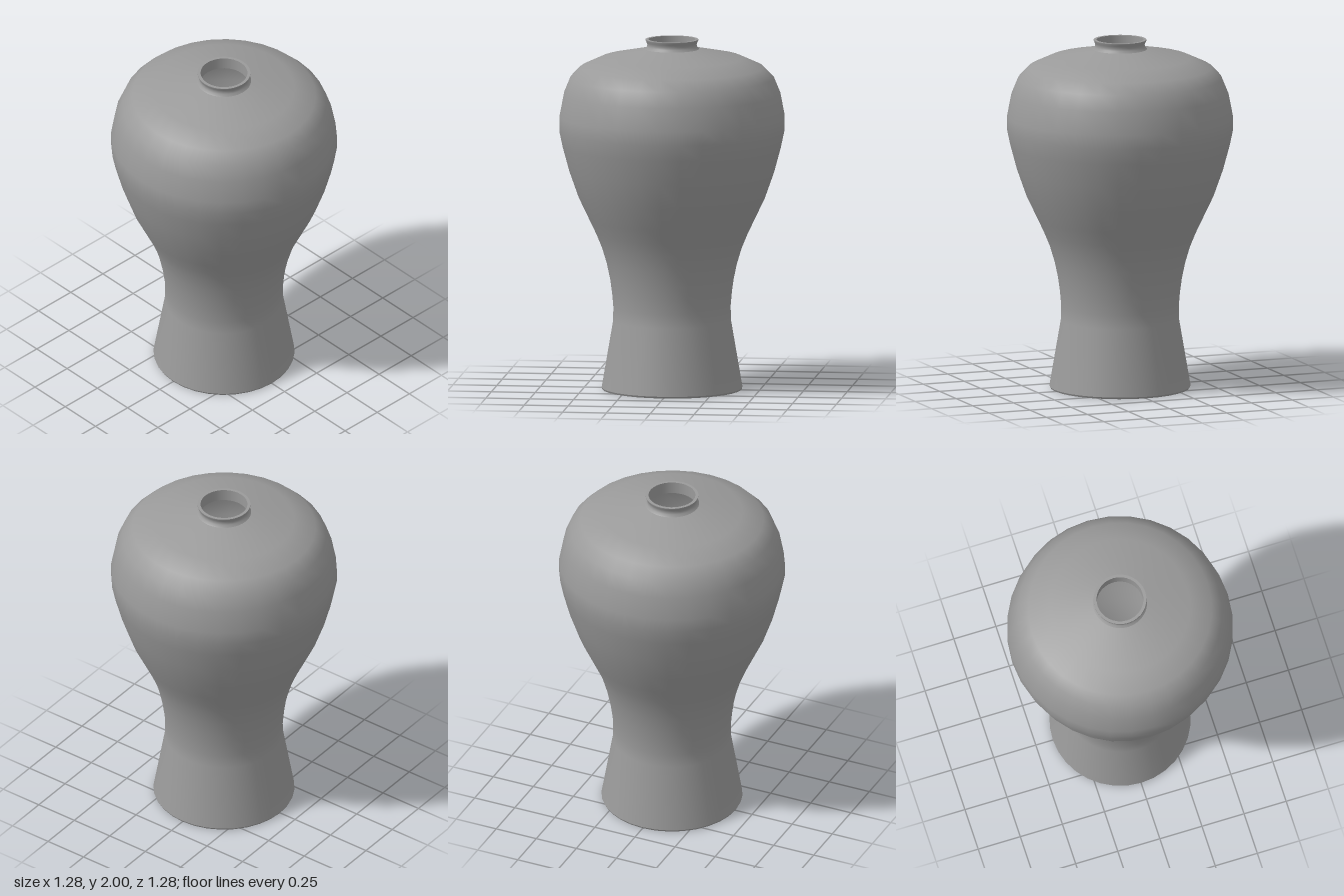
import * as THREE from 'three';

const material = new THREE.MeshStandardMaterial({ color: 0x9a9a9a });

// Revolve a profile of [radius, height] pairs; running upwards it faces outwards.
function turned(name, profile) {
  const points = profile.map(([r, y]) => new THREE.Vector2(r, y));
  const mesh = new THREE.Mesh(new THREE.LatheGeometry(points, 32), material);
  mesh.name = name;
  return mesh;
}

export function createModel() {
  const vase = new THREE.Group();
  vase.name = 'vase';

  // Flared foot, narrow waist, full belly and sloping shoulder
  const body = [
    [0.4, 0.01], [0.335, 0.39], [0.333, 0.47], [0.34, 0.55],
    [0.351, 0.63], [0.37, 0.72], [0.397, 0.81], [0.43, 0.89], [0.468, 0.97],
    [0.53, 1.1], [0.583, 1.25], [0.621, 1.39], [0.64, 1.48], [0.64, 1.56],
    [0.615, 1.69], [0.578, 1.78], [0.52, 1.84], [0.4, 1.895], [0.154, 1.945],
  ];
  vase.add(turned('body', body));

  // Underside with its narrow chamfer
  vase.add(turned('underside', [[0, 0], [0.395, 0]]));
  vase.add(turned('footEdge', [[0.395, 0], [0.4, 0.01]]));

  // Pinched neck, flat lip and the throat inside
  vase.add(turned('neck', [[0.154, 1.945], [0.143, 1.957], [0.14, 1.97], [0.144, 1.983], [0.15, 1.995], [0.15, 2]]));
  vase.add(turned('lip', [[0.15, 2], [0.133, 2]]));
  vase.add(turned('throat', [[0.133, 2], [0.133, 1.93]]));

  // Hollow inside, following the body with an even wall
  const wall = 0.03;
  const inner = body.slice(1, -1).reverse().map(([r, y]) => [r - wall, y > 1.75 ? y - wall : y]);
  vase.add(turned('cavity', [[0.133, 1.93], ...inner, [0.36, 0.05]]));
  vase.add(turned('cavityFloor', [[0.36, 0.05], [0, 0.05]]));

  return vase;
}
